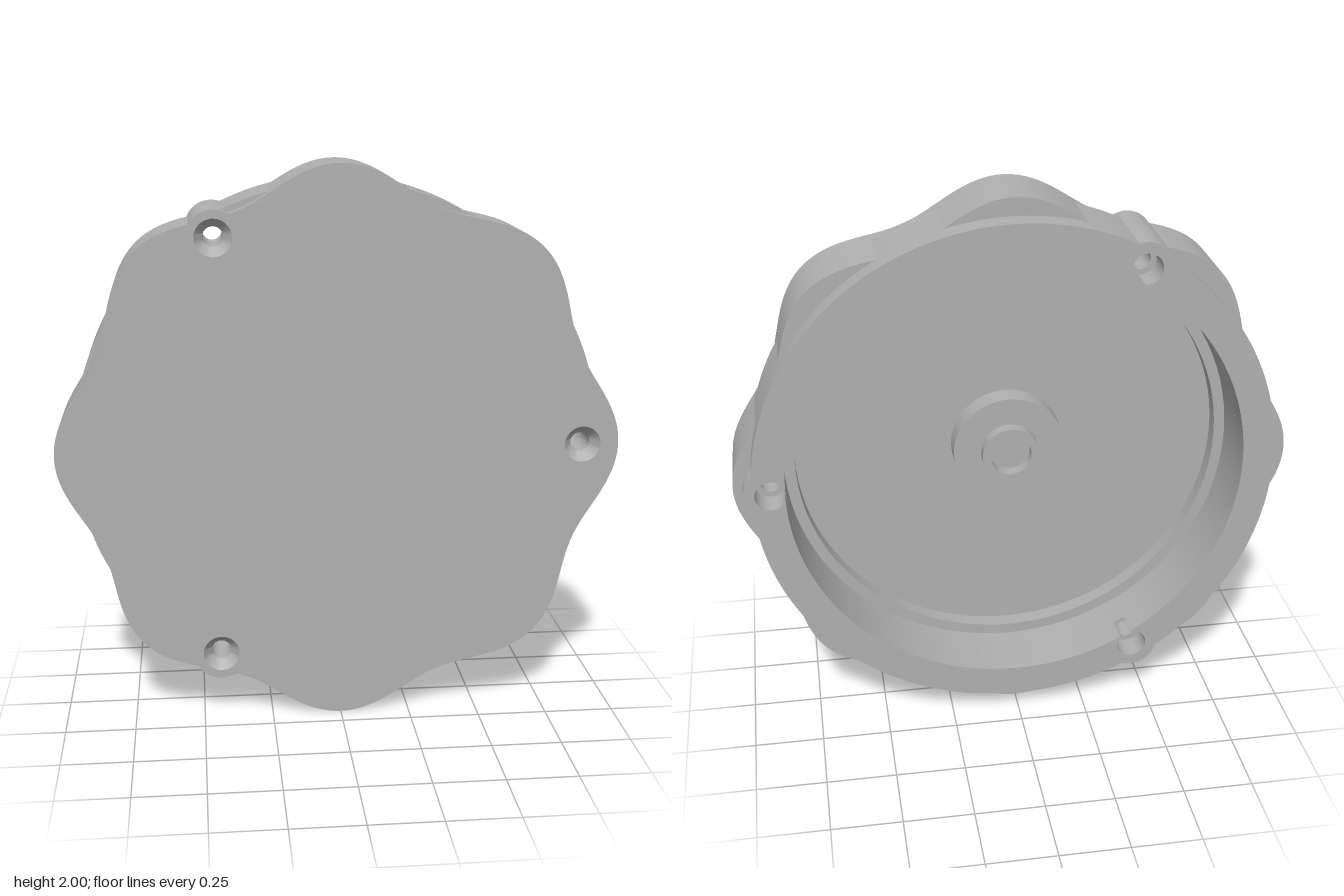
import * as THREE from 'three';
import { toCreasedNormals } from 'three/addons/utils/BufferGeometryUtils.js';

const DISC = 0.935, CAVITY = 0.82, LEDGE = 0.78;
const SCREW_R = 0.87, BOSS = 0.095, BORE = 0.035, POCKET = 0.055, SINK = 0.065;
const SCREWS = [0, 1, 2].map((i) => (i * Math.PI * 2) / 3);

// Outline radii as functions of the angle
const disc = () => DISC;
const wave = (a) => 0.957 + 0.043 * Math.cos(8 * a);
const boss = (a) => Math.max(...SCREWS.map((s) => {
  const q = BOSS ** 2 - (SCREW_R * Math.sin(a - s)) ** 2;
  return q > 0 && Math.cos(a - s) > 0 ? SCREW_R * Math.cos(a - s) + Math.sqrt(q) : 0;
}));

function outline(...radii) {
  const pts = [];
  for (let i = 0; i < 720; i++) {
    const a = (i / 720) * Math.PI * 2;
    const r = Math.max(...radii.map((f) => f(a)));
    pts.push(new THREE.Vector2(r * Math.cos(a), r * Math.sin(a)));
  }
  return new THREE.Shape(pts);
}

const circle = (r, x = 0, y = 0) => new THREE.Path().absarc(x, y, r, 0, Math.PI * 2, false);
const screwHoles = (r) => SCREWS.map((a) => circle(r, SCREW_R * Math.cos(a), SCREW_R * Math.sin(a)));

// Cavity circle that breaks into the three screw pockets
function keyedCavity() {
  const d = Math.acos((CAVITY ** 2 + SCREW_R ** 2 - POCKET ** 2) / (2 * CAVITY * SCREW_R));
  const e = Math.atan2(CAVITY * Math.sin(d), CAVITY * Math.cos(d) - SCREW_R);
  const path = new THREE.Path();
  SCREWS.forEach((a) => {
    path.absarc(SCREW_R * Math.cos(a), SCREW_R * Math.sin(a), POCKET, a - e, a + e, false);
    path.absarc(0, 0, CAVITY, a + d, a + (Math.PI * 2) / 3 - d, false);
  });
  return path;
}

export function createModel() {
  const model = new THREE.Group();
  model.name = 'scallopedCover';
  const grey = new THREE.MeshStandardMaterial({ color: 0xb0b0b0 });
  grey.name = 'grey';

  const add = (name, geometry, crease = 0.22) => {
    const mesh = new THREE.Mesh(toCreasedNormals(geometry, crease), grey);
    mesh.name = name;
    model.add(mesh);
    return mesh;
  };
  const slab = (name, z0, z1, shape, holes) => {
    shape.holes.push(...holes);
    const g = new THREE.ExtrudeGeometry(shape, { depth: z1 - z0, bevelEnabled: false, curveSegments: 48 });
    add(name, g.translate(0, 0, z0));
  };
  const lathe = (name, points, segments) => {
    const g = new THREE.LatheGeometry(points.map(([r, h]) => new THREE.Vector2(r, h)), segments);
    return add(name, g.rotateX(-Math.PI / 2), 0.4);
  };

  // Body, from the round back rim to the scalloped front plate
  slab('backRim', -0.17, -0.09, outline(disc, boss), [keyedCavity()]);
  slab('pocketWall', -0.09, -0.07, outline(wave, disc, boss), [keyedCavity()]);
  slab('scallopedWall', -0.07, 0.07, outline(wave, disc, boss), [circle(CAVITY), ...screwHoles(BORE)]);
  slab('innerLedge', 0.07, 0.11, outline(wave, disc, boss), [circle(LEDGE), ...screwHoles(BORE)]);
  slab('frontWall', 0.11, 0.13, outline(wave, boss), [circle(LEDGE), ...screwHoles(BORE)]);
  slab('frontPlate', 0.13, 0.17, outline(wave, boss), screwHoles(SINK));

  // Countersinks of the screw holes
  SCREWS.forEach((a) => {
    const cone = lathe('countersink', [[BORE, -0.13], [SINK, -0.17]], 48);
    cone.position.set(SCREW_R * Math.cos(a), SCREW_R * Math.sin(a), 0);
  });

  // Stepped hub with a shallow socket on the cavity floor
  lathe('centreHub', [
    [0.205, -0.13], [0.205, -0.045], [0.105, -0.045], [0.105, 0],
    [0.075, 0], [0.075, -0.045], [0, -0.045],
  ], 64);

  model.position.y = 1;
  return model;
}
